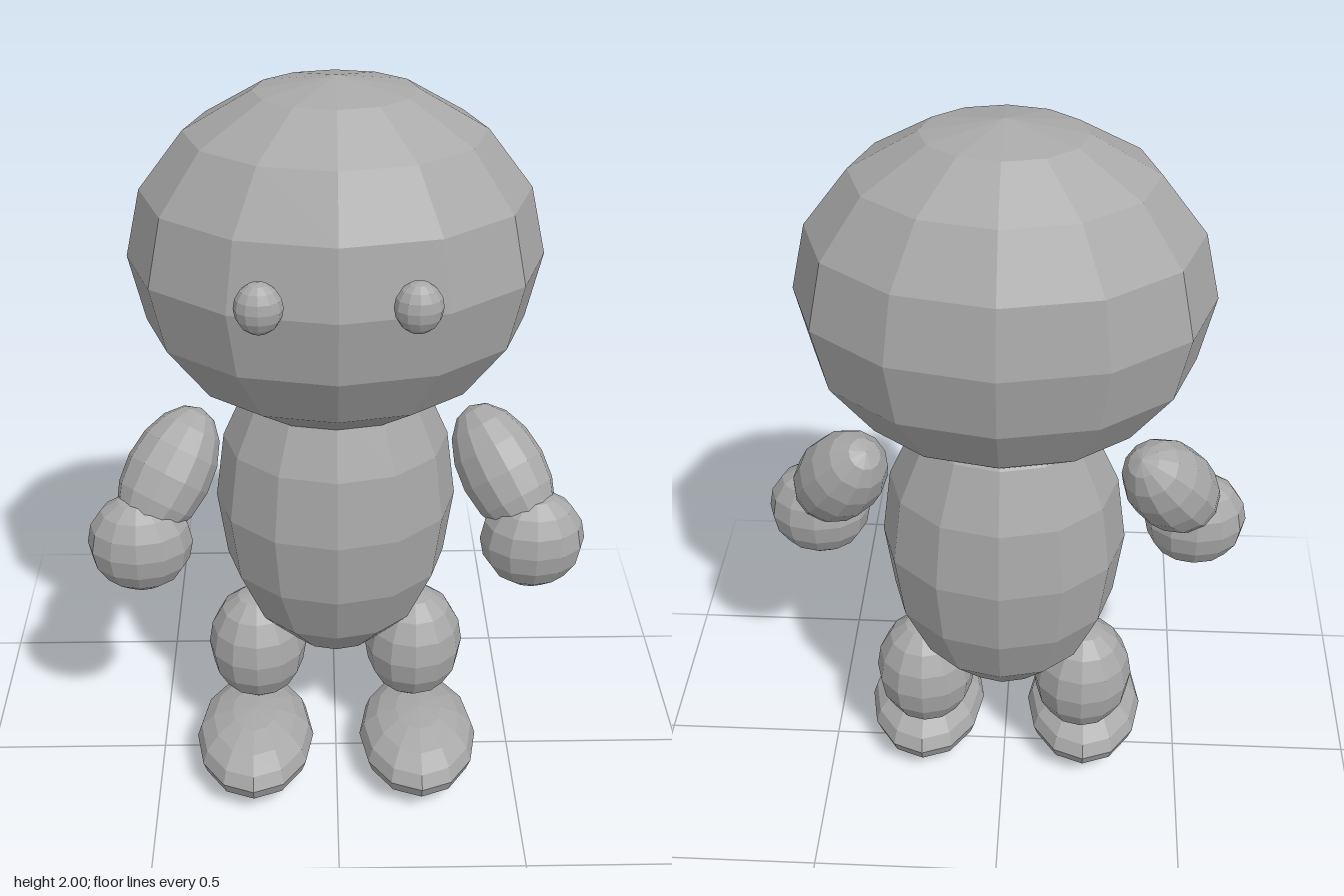
import * as THREE from 'three';

export function createModel() {
  const model = new THREE.Group();
  model.name = 'bigHeadedFigure';

  const grey = new THREE.MeshStandardMaterial({ color: 0xa8a8a8, flatShading: true });
  grey.name = 'plain grey';

  // Every part is a faceted ball, stretched along its own axes
  const ball = new THREE.SphereGeometry(1, 12, 8);
  function addBall(name, position, radii, rotation = [0, 0, 0]) {
    const mesh = new THREE.Mesh(ball, grey);
    mesh.name = name;
    mesh.position.set(...position);
    mesh.scale.set(...radii);
    mesh.rotation.set(...rotation);
    model.add(mesh);
  }

  // Head and body
  addBall('head', [0, 1.55, -0.023], [0.513, 0.45, 0.396]);
  addBall('body', [0, 0.84, -0.055], [0.32, 0.485, 0.28]);

  // Paired parts, mirrored across x = 0
  for (const [side, s] of [['left', 1], ['right', -1]]) {
    addBall(side + 'Eye', [s * 0.18, 1.59, 0.367], [0.057, 0.063, 0.047]);
    // Arm slants outward, down and forward
    addBall(side + 'Arm', [s * 0.44, 0.95, 0.02], [0.115, 0.193, 0.115], [-0.54, 0, s * 0.48]);
    addBall(side + 'Hand', [s * 0.516, 0.79, 0.097], [0.138, 0.138, 0.112]);
    addBall(side + 'Leg', [s * 0.221, 0.345, -0.055], [0.138, 0.172, 0.138]);
    addBall(side + 'Foot', [s * 0.231, 0.105, 0.072], [0.165, 0.1, 0.242]);
  }

  return model;
}
